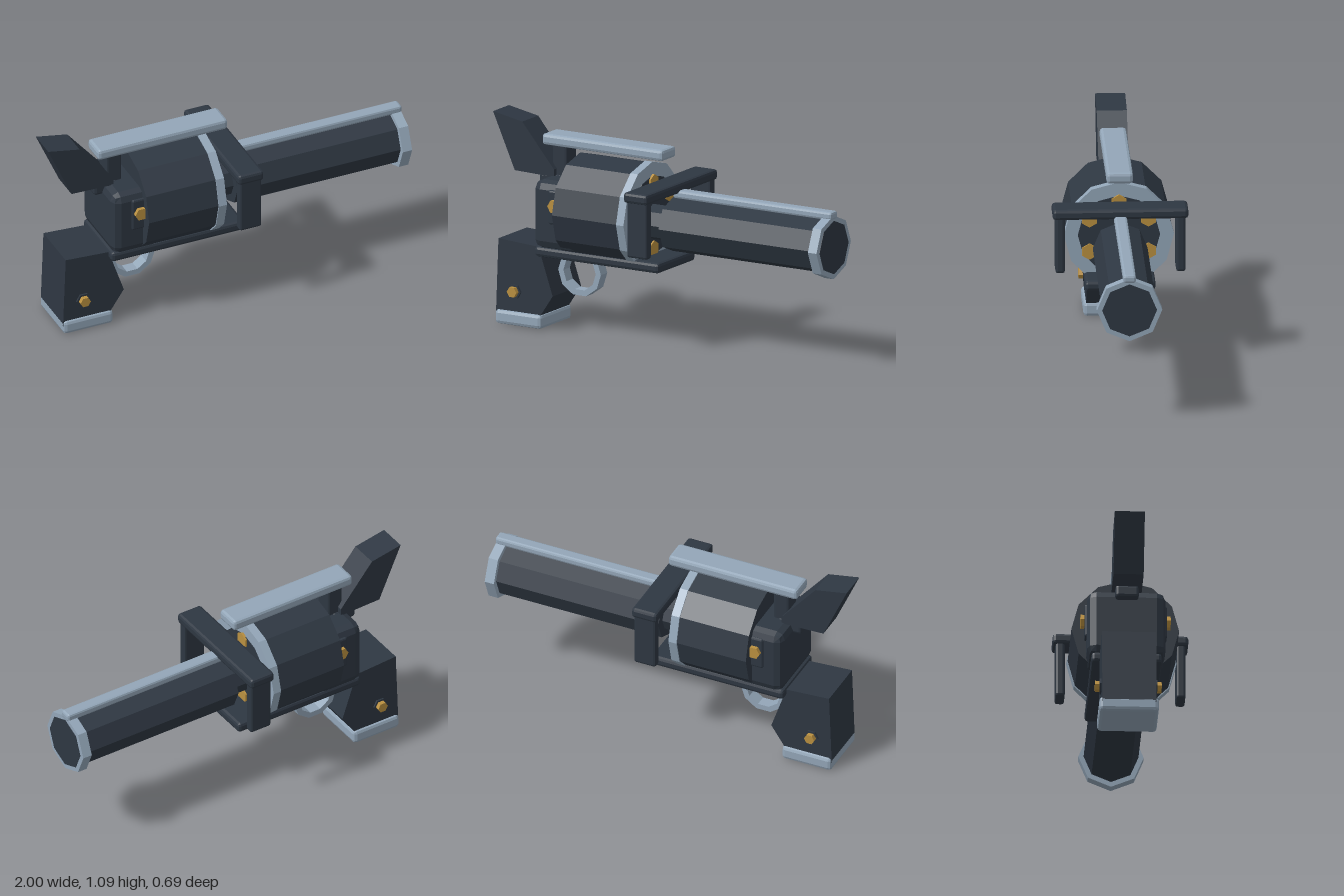
import * as THREE from 'three';
import { RoundedBoxGeometry } from 'three/addons/geometries/RoundedBoxGeometry.js';

export function createModel() {
  const model = new THREE.Group();
  model.name = 'revolverProp';

  const makeMaterial = (name, color) => {
    const m = new THREE.MeshStandardMaterial({ color });
    m.name = name;
    return m;
  };
  const gunmetal = makeMaterial('gunmetal', 0x2e3742);
  const steel = makeMaterial('steel', 0x93a6b8);
  const brass = makeMaterial('brass', 0xba9040);

  // Adds a mesh with hard facets
  function add(name, geometry, material) {
    const flat = geometry.index ? geometry.toNonIndexed() : geometry;
    flat.computeVertexNormals();
    const mesh = new THREE.Mesh(flat, material);
    mesh.name = name;
    model.add(mesh);
    return mesh;
  }

  // Chamfered box given by its extents
  function block(name, material, [x0, x1], [y0, y1], [z0, z1], chamfer) {
    const g = new RoundedBoxGeometry(x1 - x0, y1 - y0, z1 - z0, 1, chamfer);
    g.translate((x0 + x1) / 2, (y0 + y1) / 2, (z0 + z1) / 2);
    return add(name, g, material);
  }

  // Faceted cylinder lying along x
  function rod(name, material, x0, x1, y, z, radius, sides, turn = 0) {
    const g = new THREE.CylinderGeometry(radius, radius, x1 - x0, sides);
    g.rotateY(turn).rotateZ(Math.PI / 2).translate((x0 + x1) / 2, y, z);
    return add(name, g, material);
  }

  // Side outline extruded across z
  function slab(name, material, shape, halfWidth) {
    const g = new THREE.ExtrudeGeometry(shape, { depth: halfWidth * 2, bevelEnabled: false });
    g.translate(0, 0, -halfWidth);
    return add(name, g, material);
  }
  const outline = (points) => new THREE.Shape(points.map(([x, y]) => new THREE.Vector2(x, y)));

  // Hexagonal bolt running through both sides
  function bolt(name, material, x, y, radius, halfLength) {
    const g = new THREE.CylinderGeometry(radius, radius, halfLength * 2, 6);
    g.rotateY(Math.PI / 2).rotateX(Math.PI / 2).translate(x, y, 0);
    return add(name, g, material);
  }

  // Barrel, muzzle and top rib
  const barrelY = 0.617;
  rod('barrel', gunmetal, 0.03, 0.998, barrelY, 0, 0.14, 8);
  rod('barrelShaft', gunmetal, -0.12, 0.05, barrelY, 0, 0.092, 8);
  rod('muzzleRing', steel, 0.943, 0.995, barrelY, 0, 0.167, 8);
  block('barrelRib', steel, [0.05, 1], [0.762, 0.805], [-0.033, 0.033], 0.012);

  // Drum with its front ring, face plate and six chambers
  const drumY = 0.648;
  rod('drum', gunmetal, -0.525, -0.13, drumY, 0, 0.275, 12);
  rod('drumRing', steel, -0.137, -0.092, drumY, 0, 0.281, 12);
  rod('drumFace', gunmetal, -0.13, -0.088, drumY, 0, 0.21, 12);
  for (let i = 0; i < 6; i++) {
    const a = Math.PI / 6 + (i * Math.PI) / 3;
    rod('chamber', brass, -0.12, -0.079, drumY + 0.174 * Math.sin(a), 0.174 * Math.cos(a), 0.043, 6, Math.PI / 2);
  }

  // Crossbar with a hanging guard on each side
  block('crossbar', gunmetal, [-0.055, 0.087], [0.788, 0.843], [-0.346, 0.346], 0.015);
  for (const s of [-1, 1]) {
    block('sideGuard', gunmetal, [-0.043, 0.08], [0.5, 0.81], [s * 0.308 - 0.024, s * 0.308 + 0.024], 0.012);
  }

  // Frame
  block('rearFrame', gunmetal, [-0.69, -0.42], [0.44, 0.8], [-0.2, 0.2], 0.045);
  block('frameSidePlate', gunmetal, [-0.59, -0.48], [0.58, 0.76], [-0.21, 0.21], 0.01);
  block('lowerRail', gunmetal, [-0.69, 0.055], [0.393, 0.447], [-0.18, 0.18], 0.016);
  bolt('frameBolt', brass, -0.545, 0.68, 0.036, 0.23);

  // Hammer
  block('hammerBase', gunmetal, [-0.735, -0.6], [0.74, 0.805], [-0.06, 0.06], 0.014);
  slab('hammer', gunmetal, outline([[-1, 1.095], [-0.87, 0.802], [-0.635, 0.795], [-0.635, 0.835], [-0.825, 1.062]]), 0.077);

  // Top sight bar and post
  block('sightPost', gunmetal, [-0.662, -0.575], [0.77, 0.97], [-0.05, 0.05], 0.012);
  block('sightBar', steel, [-0.715, 0.01], [0.953, 1.012], [-0.068, 0.068], 0.016);

  // Grip, butt cap and bolts
  slab('grip', gunmetal, outline([[-0.93, 0.45], [-0.945, 0.05], [-0.695, 0.05], [-0.605, 0.185], [-0.69, 0.435]]), 0.138);
  block('buttCap', steel, [-0.945, -0.668], [0.004, 0.08], [-0.152, 0.152], 0.018);
  bolt('gripWasher', gunmetal, -0.832, 0.184, 0.04, 0.147);
  bolt('gripBolt', brass, -0.832, 0.184, 0.029, 0.17);

  // Trigger guard ring
  const polygon = (r) => Array.from({ length: 10 }, (_, i) => {
    const a = (i * Math.PI) / 5;
    return [-0.51 + r * Math.cos(a), 0.303 + r * Math.sin(a)];
  });
  const guard = outline(polygon(0.128));
  guard.holes.push(outline(polygon(0.097)));
  slab('triggerGuard', steel, guard, 0.031);

  return model;
}
